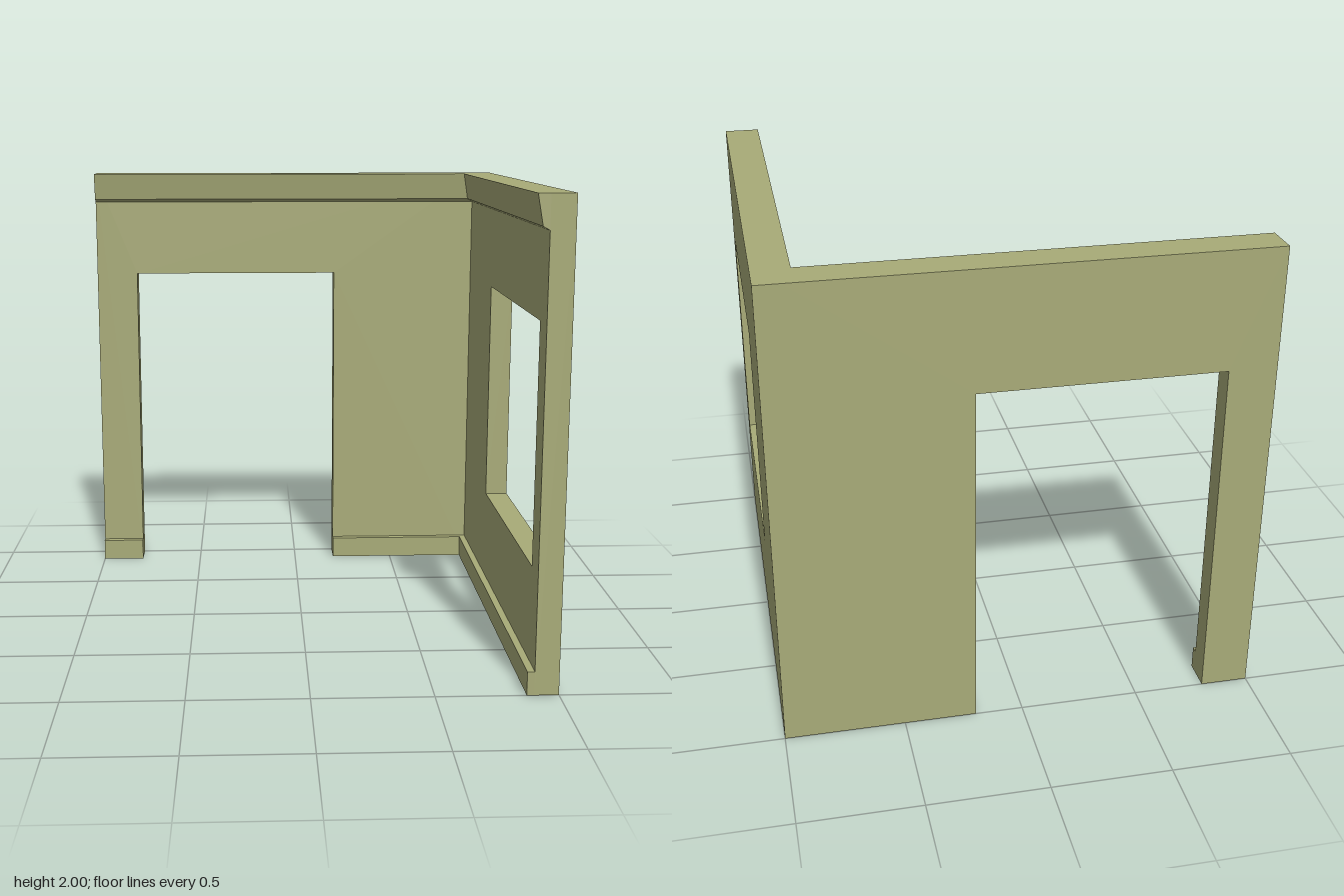
import * as THREE from 'three';

const wallPaint = new THREE.MeshStandardMaterial({ color: 0xa8ab78 });
wallPaint.name = 'olive wall paint';

const polygon = (points) => points.map(([x, y]) => new THREE.Vector2(x, y));

// Flat wall panel, 0.1 thick, with optional openings
function wallPanel(name, outline, holes = []) {
  const shape = new THREE.Shape(polygon(outline));
  holes.forEach((hole) => shape.holes.push(new THREE.Path(polygon(hole))));
  const geometry = new THREE.ExtrudeGeometry(shape, { depth: 0.1, bevelEnabled: false });
  const mesh = new THREE.Mesh(geometry, wallPaint);
  mesh.name = name;
  return mesh;
}

// Path stations: each maps the distance from the wall to a place on the floor plan
const alongBack = (x) => (d) => [x, -0.9 + d];
const innerCorner = (d) => [0.9 - d, -0.9 + d];
const alongSide = (z) => (d) => [0.9 - d, z];

// Sweeps a convex [distance, height] profile along the stations; the face against the wall stays open
function trim(name, profile, stations) {
  const rings = stations.map((place) => profile.map(([d, y]) => {
    const [x, z] = place(d);
    return [x, y, z];
  }));
  const positions = [];
  const triangle = (a, b, c) => positions.push(...a, ...b, ...c);
  for (let s = 0; s < rings.length - 1; s++) {
    for (let i = 0; i < profile.length - 1; i++) {
      const [a, b] = [rings[s][i], rings[s + 1][i]];
      const [c, d] = [rings[s + 1][i + 1], rings[s][i + 1]];
      triangle(a, b, c);
      triangle(a, c, d);
    }
  }
  // End caps
  const first = rings[0];
  const last = rings[rings.length - 1];
  for (let i = 1; i < profile.length - 1; i++) {
    triangle(first[0], first[i], first[i + 1]);
    triangle(last[0], last[i + 1], last[i]);
  }
  const geometry = new THREE.BufferGeometry();
  geometry.setAttribute('position', new THREE.Float32BufferAttribute(positions, 3));
  geometry.computeVertexNormals();
  const mesh = new THREE.Mesh(geometry, wallPaint);
  mesh.name = name;
  return mesh;
}

export function createModel() {
  const group = new THREE.Group();
  group.name = 'roomCorner';

  // Back wall with a doorway open to the floor
  const backWall = wallPanel('backWall', [
    [-1, 0], [-0.8, 0], [-0.8, 1.5], [0.2, 1.5], [0.2, 0], [0.9, 0], [0.9, 2], [-1, 2],
  ]);
  backWall.position.z = -1;

  // Side wall with a window opening
  const sideWall = wallPanel('sideWall',
    [[-1, 0], [1, 0], [1, 2], [-1, 2]],
    [[[-0.26, 0.5], [-0.26, 1.5], [0.87, 1.5], [0.87, 0.5]]]);
  sideWall.rotation.y = -Math.PI / 2;
  sideWall.position.x = 1;

  // Crown moulding and skirting, mitred at the inner corner
  const crown = [[0, 1.86], [0.027, 1.875], [0.05, 2], [0, 2]];
  const skirting = [[0, 0], [0.03, 0], [0.03, 0.1], [0, 0.1]];

  group.add(
    backWall,
    sideWall,
    trim('crownMoulding', crown, [alongBack(-1), innerCorner, alongSide(1)]),
    trim('doorSideSkirting', skirting, [alongBack(-1), alongBack(-0.8)]),
    trim('cornerSkirting', skirting, [alongBack(0.2), innerCorner, alongSide(1)]),
  );
  return group;
}
